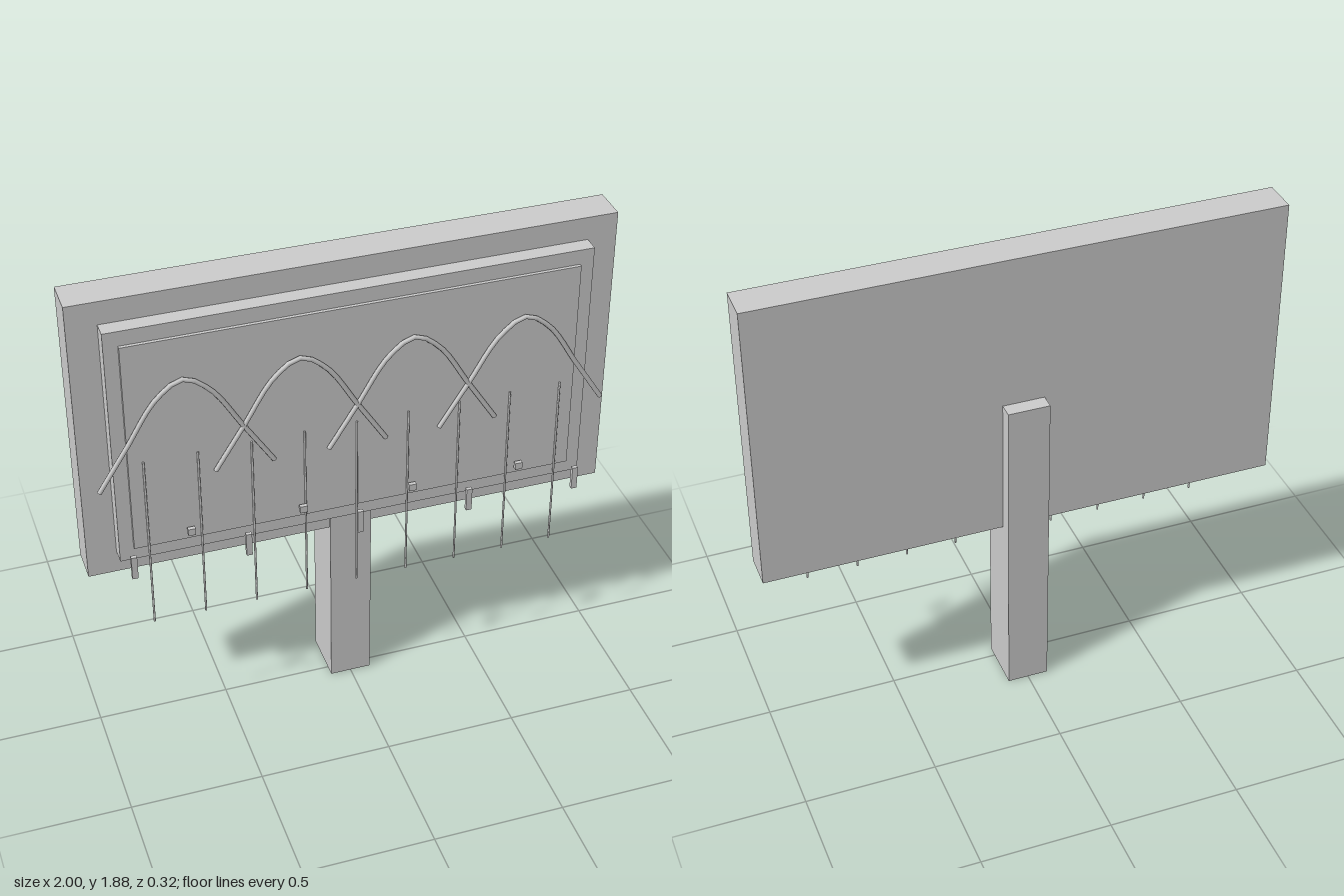
import * as THREE from 'three';

export function createModel() {
  const group = new THREE.Group();
  const grey = new THREE.MeshStandardMaterial({ color: 0xcccccc, side: THREE.DoubleSide });
  grey.name = 'light grey';

  const add = (name, geometry) => {
    const mesh = new THREE.Mesh(geometry, grey);
    mesh.name = name;
    group.add(mesh);
    return mesh;
  };
  // Box given by its limits on each axis
  const box = (name, x0, x1, y0, y1, z0, z1) =>
    add(name, new THREE.BoxGeometry(x1 - x0, y1 - y0, z1 - z0))
      .position.set((x0 + x1) / 2, (y0 + y1) / 2, (z0 + z1) / 2);

  // Post and stepped sign board
  box('post', -0.08, 0.08, 0, 1.28, -0.16, 0.043);
  box('board', -1, 1, 0.73, 1.88, -0.103, 0.034);
  box('raisedPanel', -0.89, 0.89, 0.82, 1.79, 0.034, 0.095);
  box('facePlate', -0.838, 0.838, 0.875, 1.732, 0.095, 0.108);

  // Arched tubes, overlapping along the face
  const profile = [[-1, 0], [-0.66, 0.415], [-0.3, 0.85], [0, 1], [0.3, 0.85], [0.66, 0.415], [1, 0]];
  const arch = new THREE.CatmullRomCurve3(
    profile.map(([x, y]) => new THREE.Vector3(x * 0.318, 1.16 + y * 0.41, 0.12)));
  const archGeometry = new THREE.TubeGeometry(arch, 24, 0.009, 8);
  for (let i = 0; i < 4; i++) {
    const x = (i - 1.5) * 0.42;
    add('arch', archGeometry).position.x = x;
    // Small block below each arch
    box('block', x - 0.014, x + 0.014, 0.907, 0.935, 0.122, 0.138);
  }

  // Thin hanging rods
  const rodGeometry = new THREE.CylinderGeometry(0.004, 0.004, 0.725, 8);
  for (let i = -4; i <= 4; i++) add('rod', rodGeometry).position.set(i * 0.196, 0.887, 0.112);

  // Clips along the lower edge
  for (let i = -2; i <= 2; i++) {
    const x = i * 0.426;
    box('clip', x - 0.011, x + 0.011, 0.782, 0.877, 0.146, 0.161);
  }
  return group;
}
